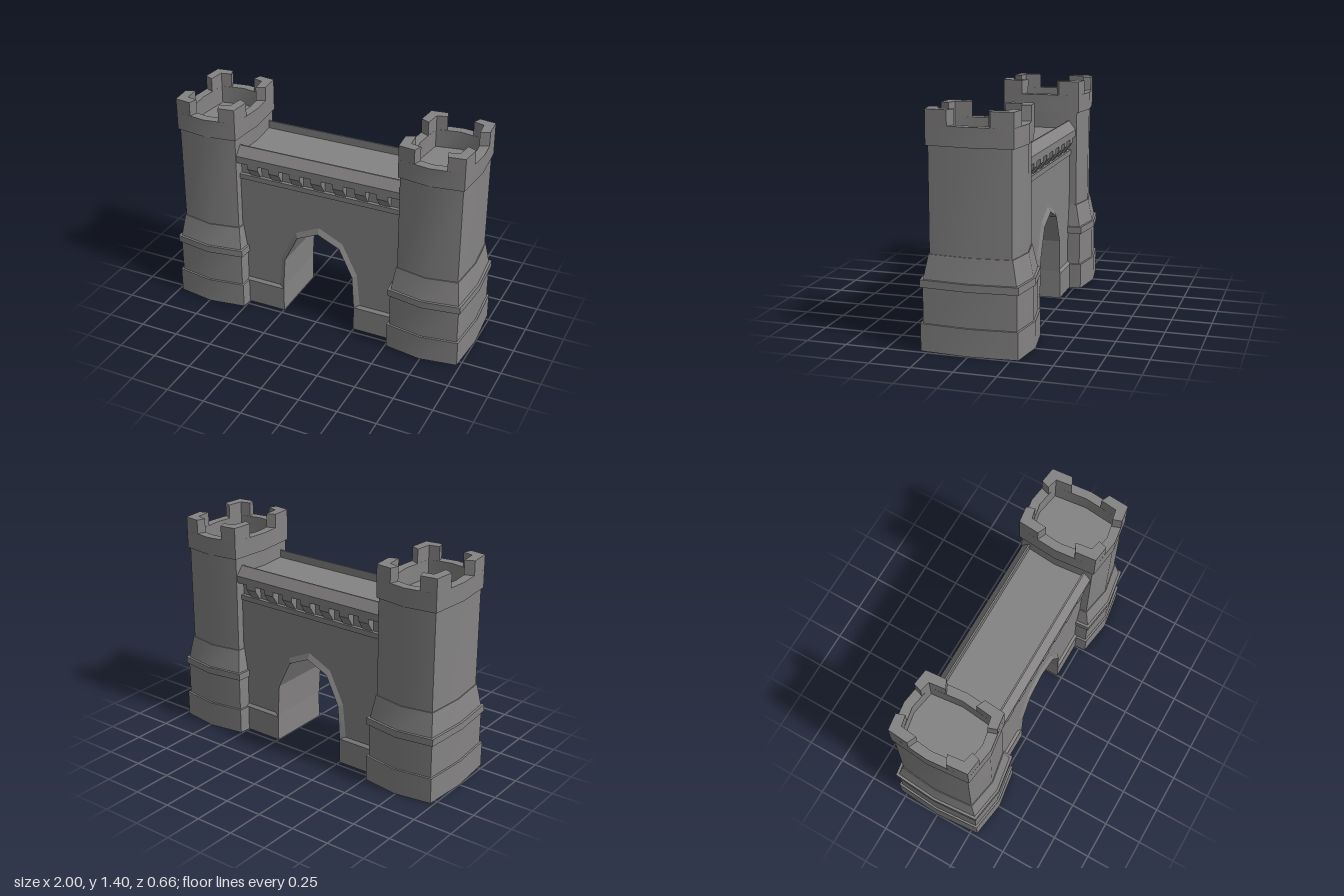
import * as THREE from 'three';
import { mergeGeometries, toCreasedNormals } from 'three/addons/utils/BufferGeometryUtils.js';

// Double-sided because the gate wall is an open shell underneath
const stone = new THREE.MeshStandardMaterial({ color: 0x858383, side: THREE.DoubleSide });
stone.name = 'stone';

function mesh(name, geometry) {
  const m = new THREE.Mesh(geometry, stone);
  m.name = name;
  return m;
}

function fromTriangles(points) {
  const g = new THREE.BufferGeometry().setFromPoints(points);
  g.computeVertexNormals();
  return g;
}

// Quads joining two rows of points
function strip(a, b, closed) {
  const tris = [];
  const n = closed ? a.length : a.length - 1;
  for (let j = 0; j < n; j++) {
    const k = (j + 1) % a.length;
    tris.push(a[j], b[j], a[k], a[k], b[j], b[k]);
  }
  return fromTriangles(tris);
}

function fan(ring, up) {
  const tris = [];
  for (let j = 1; j < ring.length - 1; j++) {
    if (up) tris.push(ring[0], ring[j + 1], ring[j]);
    else tris.push(ring[0], ring[j], ring[j + 1]);
  }
  return fromTriangles(tris);
}

const polygon = (pts) => new THREE.Shape(pts.map(([x, y]) => new THREE.Vector2(x, y)));

// Extrude a (z, y) profile along x, centred on x = 0
function alongX(profile, length) {
  const g = new THREE.ExtrudeGeometry(polygon(profile), { depth: length, bevelEnabled: false });
  return g.translate(0, 0, -length / 2).rotateY(-Math.PI / 2);
}

// Mirror a half profile (first coordinate positive) into a closed one
const mirrored = (half) => [...half, ...half.map(([a, b]) => [-a, b]).reverse()];

// Eight-point tower plan: slightly bowed rectangle
function ring(y, mx, mz, cx = mx - 0.022, cz = mz - 0.036) {
  return [[mx, 0], [cx, cz], [0, mz], [-cx, cz], [-mx, 0], [-cx, -cz], [0, -mz], [cx, -cz]]
    .map(([x, z]) => new THREE.Vector3(x, y, z));
}

function towerBody() {
  const rings = [
    ring(0, 0.257, 0.328), ring(0.165, 0.257, 0.328),
    ring(0.165, 0.245, 0.316), ring(0.38, 0.245, 0.316),
    ring(0.38, 0.257, 0.328), ring(0.425, 0.257, 0.328),
    ring(0.425, 0.242, 0.314), ring(0.57, 0.222, 0.286),
    ring(0.57, 0.217, 0.281), ring(1.195, 0.217, 0.281),
    ring(1.195, 0.226, 0.287, 0.204, 0.258), ring(1.31, 0.226, 0.287, 0.204, 0.258),
    ring(1.31, 0.17, 0.23, 0.148, 0.203), ring(1.195, 0.17, 0.23, 0.148, 0.203),
  ];
  const parts = [fan(rings[0], false), fan(rings[rings.length - 1], true)];
  for (let i = 0; i < rings.length - 1; i++) {
    parts.push(toCreasedNormals(strip(rings[i], rings[i + 1], true), 0.5));
  }
  return mergeGeometries(parts);
}

// L-shaped corner merlon, in the quadrant given by the two signs
function merlon(sx, sz) {
  const plan = [
    [0.1, 0.272], [0.204, 0.258], [0.215, 0.126],
    [0.16, 0.1], [0.148, 0.203], [0.082, 0.218],
  ].map(([x, z]) => [x * sx, -z * sz]);
  const g = new THREE.ExtrudeGeometry(polygon(plan), { depth: 0.09, bevelEnabled: false });
  return g.rotateX(-Math.PI / 2).translate(0, 1.31, 0);
}

function tower(name, x) {
  const t = new THREE.Group();
  t.name = name;
  t.add(mesh('towerBody', towerBody()));
  for (const sx of [-1, 1]) for (const sz of [-1, 1]) t.add(mesh('merlon', merlon(sx, sz)));
  t.position.x = x;
  return t;
}

// Wall with a pointed arch, its rim standing slightly proud
function archWall() {
  const both = (half) => [...half, ...half.slice(0, -1).map(([x, y]) => [-x, y]).reverse()];
  const inner = both([[0.248, 0], [0.248, 0.18], [0.235, 0.39], [0.145, 0.575], [0, 0.64]]);
  const outer = both([[0.285, 0], [0.283, 0.185], [0.262, 0.4], [0.16, 0.605], [0, 0.68]]);
  const at = (pts, z) => pts.map(([x, y]) => new THREE.Vector3(x, y, z));
  const rows = [at(outer, -0.2), at(inner, -0.217), at(inner, 0.217), at(outer, 0.2)];
  const parts = [];
  for (let i = 0; i < 3; i++) parts.push(strip(rows[i], rows[i + 1], false));
  const face = new THREE.ShapeGeometry(polygon([...outer, [-0.56, 0], [-0.56, 0.91], [0.56, 0.91], [0.56, 0]]));
  for (const turn of [0, Math.PI]) {
    const f = face.clone().toNonIndexed().translate(0, 0, 0.2).rotateY(turn);
    f.deleteAttribute('uv');
    parts.push(f);
  }
  return mergeGeometries(parts);
}

export function createModel() {
  const model = new THREE.Group();
  model.name = 'castleGate';

  model.add(tower('leftTower', 0.743), tower('rightTower', -0.743));

  const wall = new THREE.Group();
  wall.name = 'gateWall';
  wall.add(mesh('archWall', archWall()));

  // Parapet: moulding, recessed frieze, overhanging band, sloped coping and sunken walkway
  wall.add(mesh('parapet', alongX(mirrored([
    [0.2, 0.91], [0.208, 0.912], [0.208, 0.945], [0.185, 0.945], [0.185, 1.035], [0.238, 1.035],
    [0.238, 1.08], [0.195, 1.14], [0.185, 1.14], [0.185, 1.09],
  ]), 1.12)));

  // Corbels under the overhang and plinth faces beside the passage, front and back
  const corbel = alongX([[0.18, 0.945], [0.195, 0.945], [0.237, 1.005], [0.237, 1.035], [0.18, 1.035]], 0.072);
  const plinthEdge = (x) => [[0, 0.217], [0.165, 0.217], [0.182, 0.2]]
    .map(([y, z]) => new THREE.Vector3(x, y, z));
  const plinth = strip(plinthEdge(-0.157), plinthEdge(0.157), false);
  for (const turn of [0, Math.PI]) {
    for (let i = -3; i <= 3; i++) {
      const c = mesh('corbel', corbel);
      c.rotation.y = turn;
      c.position.x = i * 0.1455;
      wall.add(c);
    }
    for (const side of [-1, 1]) {
      const p = mesh('plinth', plinth);
      p.rotation.y = turn;
      p.position.x = side * 0.405;
      wall.add(p);
    }
  }
  model.add(wall);
  return model;
}
